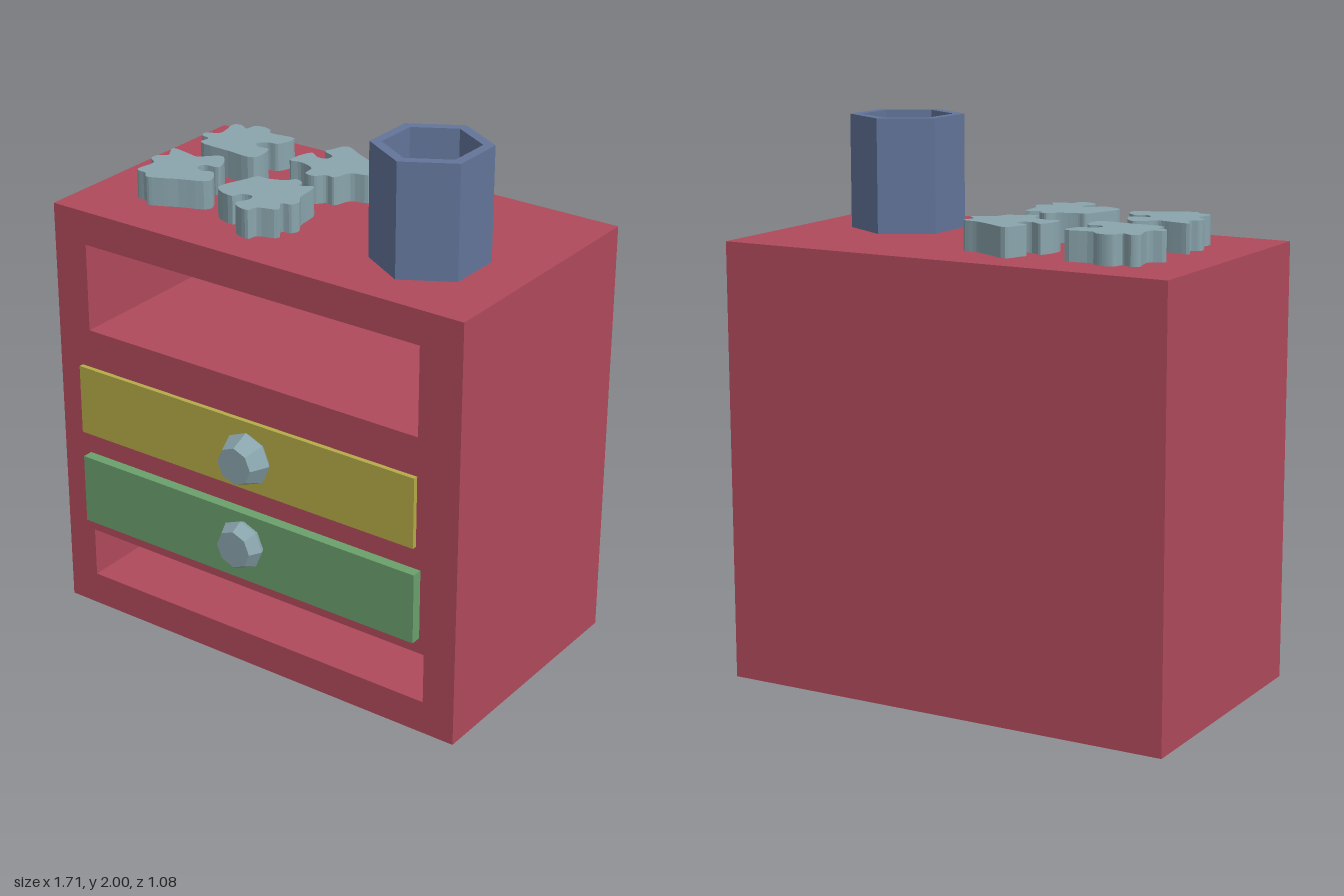
import * as THREE from 'three';
import { mergeGeometries } from 'three/addons/utils/BufferGeometryUtils.js';

const RED = 0xb04a5c, YELLOW = 0xb5ab48, GREEN = 0x6ba06c, GREY_BLUE = 0x8aa5ad, BLUE = 0x63759a;
const TOP = 1.59, FRONT = 0.435, BACK = -0.535;

function part(name, geometry, color) {
  const mesh = new THREE.Mesh(geometry, new THREE.MeshStandardMaterial({ color, flatShading: true }));
  mesh.name = name;
  return mesh;
}

const box = (x0, x1, y0, y1, z0, z1) => new THREE.BoxGeometry(x1 - x0, y1 - y0, z1 - z0)
  .translate((x0 + x1) / 2, (y0 + y1) / 2, (z0 + z1) / 2);

// Box without its front wall; inverted, it becomes the lining of a recess
function openBox(bounds, inverted) {
  const geometry = box(...bounds);
  const index = Array.from(geometry.index.array);
  index.splice(24, 6);
  geometry.setIndex(inverted ? index.reverse() : index);
  return geometry;
}

const rectangle = (path, x0, x1, y0, y1) =>
  path.moveTo(x0, y0).lineTo(x1, y0).lineTo(x1, y1).lineTo(x0, y1).closePath();

// Cabinet body with two open recesses: x0, x1, y0, y1, depth
function cabinet() {
  const recesses = [[-0.715, 0.69, 1.135, 1.465, 0.8], [-0.735, 0.73, 0.125, 0.315, 0.25]];
  const face = new THREE.Shape();
  rectangle(face, -0.855, 0.855, 0, TOP);
  const pieces = [openBox([-0.855, 0.855, 0, TOP, BACK, FRONT], false)];
  for (const [x0, x1, y0, y1, depth] of recesses) {
    const hole = new THREE.Path();
    rectangle(hole, x0, x1, y0, y1);
    face.holes.push(hole);
    pieces.push(openBox([x0, x1, y0, y1, FRONT - depth, FRONT], true));
  }
  pieces.push(new THREE.ShapeGeometry(face).translate(0, 0, FRONT));
  return part('cabinet', mergeGeometries(pieces), RED);
}

function lathe(profile, sides) {
  return new THREE.LatheGeometry(profile.map(([r, y]) => new THREE.Vector2(r, y)), sides);
}

// Drawer front with a faceted knob; knob profile is radius, z
function drawer(name, bounds, color, knobAt, profile) {
  const group = new THREE.Group();
  group.name = name;
  const knob = part('knob', lathe(profile, 8).rotateX(Math.PI / 2), GREY_BLUE);
  knob.position.set(...knobAt, 0);
  group.add(part('drawerFront', box(...bounds), color), knob);
  return group;
}

// Hollow six-sided cup
function cup() {
  const wall = [[0, 0], [0.205, 0], [0.205, 0.41], [0.165, 0.41], [0.165, 0.03], [0, 0.03]];
  const mesh = part('cup', lathe(wall, 6), BLUE);
  mesh.position.set(0.49, TOP, 0.08);
  return mesh;
}

// Jigsaw outlines as x, z pairs in hundredths
const backLeft = [-59, -33, -58, -37, -55, -38, -51, -37, -49, -34.5, -38.5, -35, -40, -27, -44, -26,
  -46.5, -23, -44, -20.5, -40, -21, -38.5, -18, -39, -11, -50.5, -11, -64, -12.5, -64, -17,
  -67.5, -18, -68.5, -21, -64, -23.5, -64.5, -29, -65.5, -33.5, -63, -35];
const backRight = [-18.5, -39.5, -10, -35.5, -3.5, -32.5, 2.5, -31, 1.5, -26, 4.5, -23, 4, -20.5,
  -2, -18.5, -4.5, -12, -8, -12, -11, -9, -15, -9.5, -16, -14.5, -22.5, -17, -27, -16.5,
  -25, -27, -20.5, -24.5, -17, -25.5, -17, -28.5, -22, -31, -21, -34];
const frontLeft = [-68, -1.5, -61.5, -1, -55.5, 0, -52.5, -3, -49, -5.5, -46.5, -4, -43.5, 1, -43, 4,
  -48.5, 5, -49, 8, -46, 10, -42, 8.5, -37.5, 16, -47.5, 21, -53.5, 24, -58, 25.5,
  -60.5, 23, -65, 22, -64.5, 13.5, -68, 10.5, -68, 7, -65, 5];
const frontRight = [-23.5, 2.5, -16.5, 0, -14, -3, -10.5, -1.5, -10, 1.5, -5, -1, -3, 9.5, -0.5, 14,
  -1.5, 17, -5, 18, -2.5, 23, -9.5, 26, -10.5, 29.5, -16, 28.5, -18, 26, -16, 21.5,
  -17, 18.5, -21, 19, -22.5, 22.5, -31.5, 19, -28.5, 7.5, -26.5, 2.5];

// Rounded jigsaw piece lying on the cabinet top
function puzzlePiece(outline) {
  const points = [];
  for (let i = 0; i < outline.length; i += 2) {
    points.push(new THREE.Vector3(outline[i] / 100, -outline[i + 1] / 100, 0));
  }
  const curve = new THREE.CatmullRomCurve3(points, true, 'centripetal');
  const smooth = curve.getPoints(points.length * 4).slice(0, -1);
  const shape = new THREE.Shape(smooth.map(p => new THREE.Vector2(p.x, p.y)));
  const geometry = new THREE.ExtrudeGeometry(shape, { depth: 0.105, bevelEnabled: false });
  return part('puzzlePiece', geometry.rotateX(-Math.PI / 2).translate(0, TOP, 0), GREY_BLUE);
}

export function createModel() {
  const model = new THREE.Group();
  model.name = 'drawerCabinet';
  model.add(
    cabinet(),
    drawer('upperDrawer', [-0.755, 0.69, 0.725, 0.99, 0.4, 0.453], YELLOW, [0.008, 0.858],
      [[0, 0.44], [0.08, 0.445], [0.1, 0.47], [0.07, 0.54], [0, 0.54]]),
    drawer('lowerDrawer', [-0.735, 0.71, 0.375, 0.64, 0.4, 0.475], GREEN, [-0.002, 0.527],
      [[0, 0.465], [0.08, 0.47], [0.093, 0.495], [0.07, 0.54], [0, 0.54]]),
    cup(),
    ...[backLeft, backRight, frontLeft, frontRight].map(puzzlePiece),
  );
  return model;
}
